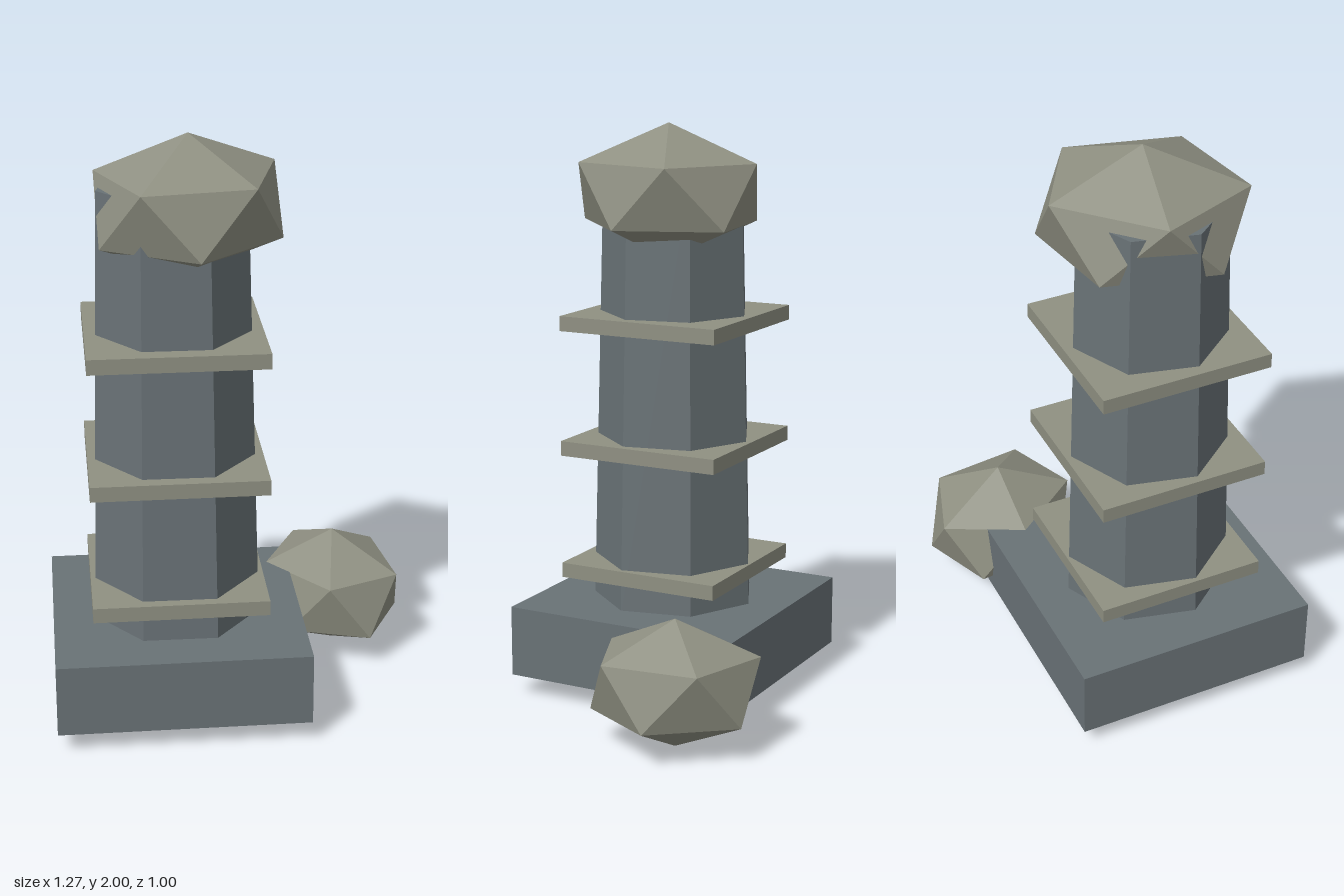
import * as THREE from 'three';
import { ConvexGeometry } from 'three/addons/geometries/ConvexGeometry.js';

export function createModel() {
  const model = new THREE.Group();
  const slate = new THREE.MeshStandardMaterial({ color: 0x697276, flatShading: true });
  slate.name = 'slate';
  const sandstone = new THREE.MeshStandardMaterial({ color: 0x8f9082, flatShading: true });
  sandstone.name = 'sandstone';

  function add(name, geometry, material, x, y, z) {
    const mesh = new THREE.Mesh(geometry, material);
    mesh.name = name;
    mesh.position.set(x, y, z);
    model.add(mesh);
    return mesh;
  }

  // Stretched icosahedron: a tip and an upper ring, mirrored through the centre
  function rock(tip, ringY, ring) {
    const upper = [new THREE.Vector3(0, tip, 0), ...ring.map(([x, z]) => new THREE.Vector3(x, ringY, z))];
    return new ConvexGeometry([...upper, ...upper.map((p) => p.clone().negate())]);
  }

  const cx = -0.205, cz = 0.07;

  // Square plinth
  add('base', new THREE.BoxGeometry(0.857, 0.25, 0.857), slate, cx, 0.195, cz);

  // Tapered seven-sided column
  const bottom = 0.3, top = 1.83;
  add('column', new THREE.CylinderGeometry(0.252, 0.292, top - bottom, 7, 1, false, THREE.MathUtils.degToRad(25)),
    slate, cx, (top + bottom) / 2, cz);

  // Square bands around the column
  for (let i = 0; i < 3; i++) {
    add('band' + (i + 1), new THREE.BoxGeometry(0.594, 0.052, 0.594), sandstone, cx, 0.44 + i * 0.44, cz);
  }

  // Capstone on the column
  add('capstone', rock(0.235, 0.106, [
    [-0.015, -0.325], [0.297, -0.14], [0.2, 0.24], [-0.17, 0.295], [-0.305, -0.055],
  ]), sandstone, -0.15, 1.765, 0.07);

  // Boulder beside the plinth
  add('boulder', rock(0.22, 0.099, [
    [-0.107, -0.26], [0.175, -0.17], [0.215, 0.157], [-0.042, 0.262], [-0.243, 0.005],
  ]), sandstone, 0.39, 0.22, -0.24);

  return model;
}
